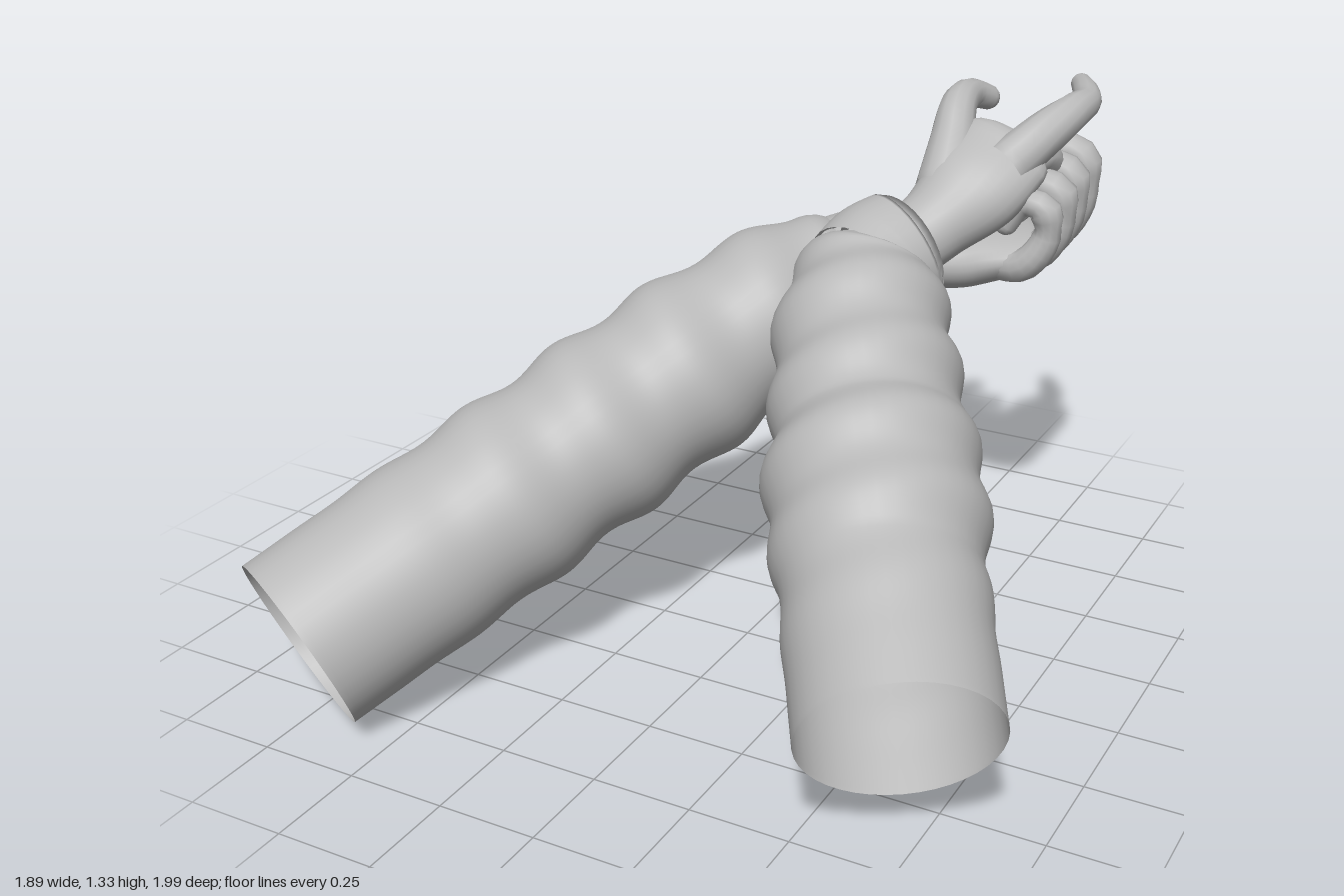
import * as THREE from 'three';

const grey = new THREE.MeshStandardMaterial({ color: 0xb9b9b9, side: THREE.DoubleSide });
grey.name = 'plain grey';

// Sweeps an elliptical section along a smooth path.
// Each point is [x, y, z, width radius, height radius]; side sets the width direction.
function sweep(name, points, { side = [1, 0, 0], steps = 24, sides = 16, round = false, bump = null } = {}) {
  const path = new THREE.CatmullRomCurve3(points.map(p => new THREE.Vector3(p[0], p[1], p[2])));
  const size = new THREE.CatmullRomCurve3(points.map(p => new THREE.Vector3(p[3], p[4] ?? p[3], 0)));
  const hint = new THREE.Vector3(...side);
  const position = [], index = [];
  let rings = 0;
  const addRing = (u, scale, push) => {
    const v = path.getUtoTmapping(u);
    const t = path.getTangent(v);
    const r = size.getPoint(v);
    const c = path.getPoint(v).addScaledVector(t, push * Math.min(r.x, r.y));
    const w = hint.clone().addScaledVector(t, -hint.dot(t)).normalize();
    const h = t.clone().cross(w);
    for (let j = 0; j < sides; j++) {
      const a = (j / sides) * Math.PI * 2;
      const b = bump ? bump(u, a) : 0;
      const p = c.clone()
        .addScaledVector(w, Math.cos(a) * (r.x + b) * scale)
        .addScaledVector(h, Math.sin(a) * (r.y + b) * scale);
      position.push(p.x, p.y, p.z);
    }
    rings++;
  };
  for (let i = 0; i <= steps; i++) addRing(i / steps, 1, 0);
  // Domed tip
  if (round) {
    for (let k = 1; k <= 5; k++) {
      const a = (k / 5) * Math.PI / 2;
      addRing(1, Math.max(Math.cos(a), 0.01), Math.sin(a));
    }
  }
  for (let i = 0; i < rings - 1; i++) {
    for (let j = 0; j < sides; j++) {
      const k = (j + 1) % sides;
      const a = i * sides + j, b = i * sides + k;
      index.push(a, b, a + sides, b, b + sides, a + sides);
    }
  }
  const geometry = new THREE.BufferGeometry();
  geometry.setAttribute('position', new THREE.Float32BufferAttribute(position, 3));
  geometry.setIndex(index);
  geometry.computeVertexNormals();
  const mesh = new THREE.Mesh(geometry, grey);
  mesh.name = name;
  return mesh;
}

// Soft slanted puffs that grow stronger towards the cuff
const puffs = (count, twist) => (u, a) => {
  const fade = THREE.MathUtils.smoothstep(u, 0.04, 0.5) * (1 - THREE.MathUtils.smoothstep(u, 0.94, 1));
  return fade * 0.012 * Math.sin(Math.PI * 2 * (count * u + 0.2 * Math.cos(a + twist)));
};

const finger = (name, points, side) => sweep(name, points, { side, steps: 18, sides: 12, round: true });

function createRightArm() {
  const arm = new THREE.Group();
  arm.name = 'rightArm';
  arm.add(sweep('rightSleeve', [
    [-0.745, 0.207, 0.865, 0.228], [-0.51, 0.415, 0.44, 0.233], [-0.28, 0.62, 0.02, 0.232],
    [-0.11, 0.765, -0.27, 0.215], [0.0, 0.83, -0.44, 0.192], [0.04, 0.845, -0.48, 0.155],
  ], { steps: 110, sides: 40, bump: puffs(6, 0.6) }));
  arm.add(sweep('rightCuff', [
    [0.0, 0.83, -0.43, 0.165], [0.06, 0.845, -0.5, 0.167], [0.13, 0.865, -0.575, 0.158],
    [0.12, 0.862, -0.565, 0.146], [0.05, 0.845, -0.49, 0.14],
  ], { steps: 24, sides: 32 }));

  // Lower hand, palm up
  const hand = new THREE.Group();
  hand.name = 'rightHand';
  const across = [0.3, 0.1, -1];
  hand.add(sweep('rightPalm', [
    [0.05, 0.84, -0.49, 0.09, 0.085], [0.18, 0.87, -0.61, 0.1, 0.08],
    [0.3, 0.885, -0.69, 0.145, 0.08], [0.43, 0.91, -0.745, 0.17, 0.062],
  ], { side: across, steps: 24, sides: 24, round: true }));
  for (let i = 0; i < 4; i++) {
    const z = -0.605 - 0.088 * i, s = 0.025 * i;
    const r = i === 0 ? 0.038 : 0.045;
    hand.add(finger('rightFinger' + (i + 1), [
      [0.38, 0.89, -0.64 - 0.07 * i, r + 0.008], [0.48, 0.905 + s * 0.3, z, r + 0.004],
      [0.535, 0.985 + s * 0.6, z - 0.01, r], [0.525, 1.06 + s, z - 0.005, r],
      [0.47, 1.07 + s, z, r - 0.004], [0.43, 1.01 + s, z + 0.005, r - 0.008],
    ], [0, 0, 1]));
  }
  hand.add(finger('rightThumb', [
    [0.2, 0.89, -0.66, 0.075], [0.18, 0.96, -0.74, 0.065], [0.205, 1.03, -0.82, 0.05],
    [0.27, 1.07, -0.865, 0.043], [0.33, 1.09, -0.875, 0.034],
  ], [0.5, 0.5, 1]));
  arm.add(hand);
  return arm;
}

function createLeftArm() {
  const arm = new THREE.Group();
  arm.name = 'leftArm';
  arm.add(sweep('leftSleeve', [
    [0.737, 0.307, 0.71, 0.228], [0.55, 0.485, 0.4, 0.235], [0.375, 0.665, 0.09, 0.235],
    [0.24, 0.815, -0.15, 0.217], [0.18, 0.9, -0.3, 0.188], [0.178, 0.922, -0.335, 0.155],
  ], { steps: 110, sides: 40, bump: puffs(6, 2.6) }));
  arm.add(sweep('leftCuff', [
    [0.17, 0.905, -0.3, 0.165], [0.185, 0.93, -0.36, 0.168], [0.225, 0.96, -0.43, 0.158],
    [0.22, 0.957, -0.42, 0.146], [0.18, 0.925, -0.35, 0.14],
  ], { steps: 24, sides: 32 }));

  // Upper hand, index finger pointing away
  const hand = new THREE.Group();
  hand.name = 'leftHand';
  const across = [1, 0, -0.25];
  hand.add(sweep('leftPalm', [
    [0.19, 0.93, -0.36, 0.09, 0.088], [0.28, 1.02, -0.48, 0.1, 0.09],
    [0.35, 1.11, -0.57, 0.135, 0.088], [0.39, 1.18, -0.65, 0.135, 0.065],
  ], { side: across, steps: 24, sides: 24, round: true }));
  hand.add(finger('leftThumb', [
    [0.28, 1.1, -0.54, 0.075], [0.265, 1.2, -0.62, 0.06], [0.25, 1.275, -0.69, 0.048],
    [0.25, 1.29, -0.77, 0.04], [0.275, 1.27, -0.83, 0.033],
  ], across));
  hand.add(finger('leftIndexFinger', [
    [0.42, 1.16, -0.6, 0.065], [0.49, 1.235, -0.69, 0.057], [0.53, 1.275, -0.77, 0.047],
    [0.54, 1.285, -0.85, 0.038], [0.515, 1.295, -0.91, 0.034], [0.485, 1.3, -0.965, 0.028],
  ], across));
  // Remaining fingers fold down into the lower hand
  for (let i = 0; i < 3; i++) {
    const d = 0.06 * i;
    hand.add(finger('leftFoldedFinger' + (i + 1), [
      [0.44 - d, 1.16 - d * 0.3, -0.64, 0.048], [0.475 - d, 1.16 - d * 0.3, -0.73, 0.043],
      [0.47 - d, 1.1 - d * 0.3, -0.79, 0.039], [0.43 - d, 1.03, -0.79, 0.035],
      [0.4 - d, 0.99, -0.75, 0.03],
    ], across));
  }
  arm.add(hand);
  return arm;
}

export function createModel() {
  const model = new THREE.Group();
  model.name = 'sleevedArms';
  model.add(createRightArm(), createLeftArm());
  return model;
}
